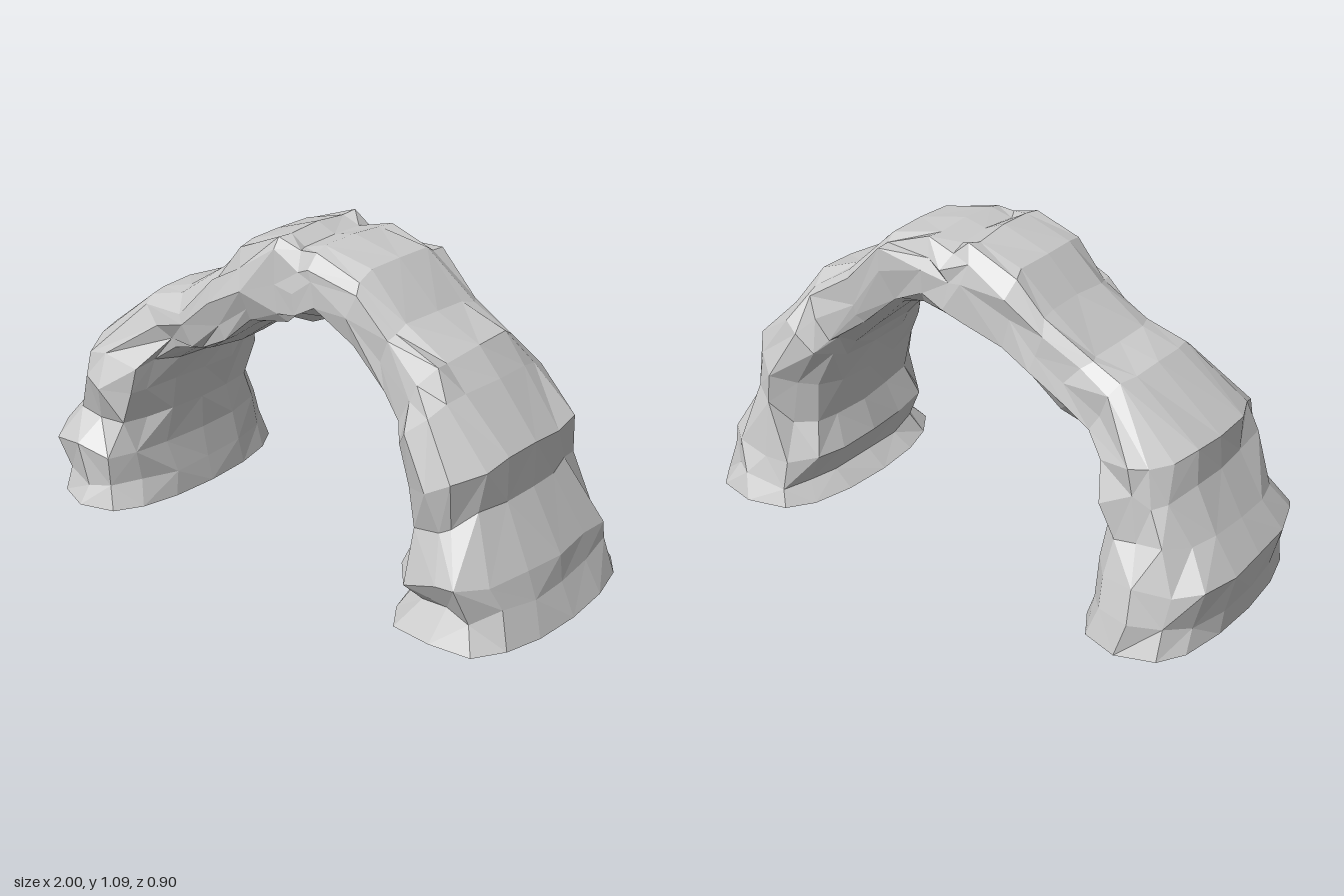
import * as THREE from 'three';

// Rings along the arch: outer x, outer y, inner x, inner y
const RINGS = [
  [-0.98, 0, -0.53, 0],
  [-0.98, 0.08, -0.55, 0.09],
  [-1, 0.21, -0.57, 0.2],
  [-0.93, 0.32, -0.57, 0.32],
  [-0.85, 0.47, -0.55, 0.44],
  [-0.84, 0.58, -0.53, 0.52],
  [-0.61, 0.77, -0.46, 0.57],
  [-0.47, 0.8, -0.37, 0.59],
  [-0.31, 0.92, -0.26, 0.67],
  [-0.2, 1.03, -0.17, 0.74],
  [-0.03, 1.09, -0.01, 0.8],
  [0.04, 1.06, 0.06, 0.81],
  [0.12, 1.08, 0.15, 0.83],
  [0.3, 1.04, 0.27, 0.79],
  [0.45, 0.9, 0.39, 0.68],
  [0.61, 0.83, 0.48, 0.59],
  [0.69, 0.74, 0.51, 0.53],
  [0.83, 0.57, 0.54, 0.42],
  [0.83, 0.42, 0.57, 0.28],
  [0.94, 0.22, 0.53, 0.17],
  [0.95, 0.13, 0.56, 0.08],
  [1, 0.02, 0.49, 0.02],
];
// Thickness by height: y, front z, back z
const DEPTHS = [
  [0, 0.44, 0.46],
  [0.1, 0.38, 0.43],
  [0.2, 0.42, 0.4],
  [0.31, 0.34, 0.34],
  [0.47, 0.37, 0.34],
  [0.63, 0.33, 0.3],
  [0.71, 0.28, 0.26],
  [0.8, 0.24, 0.24],
  [1.1, 0.21, 0.23],
];
const SIDES = 16;

// Repeatable noise in -1..1
const noise = (i, j, k) => {
  const s = Math.sin(i * 127.1 + j * 311.7 + k * 74.7) * 43758.5453;
  return 2 * (s - Math.floor(s)) - 1;
};
const rounded = (v, p) => Math.sign(v) * Math.abs(v) ** p;

function depthAt(y, column) {
  const k = Math.max(1, DEPTHS.findIndex((row) => row[0] >= y));
  const low = DEPTHS[k - 1], high = DEPTHS[k];
  return THREE.MathUtils.mapLinear(y, low[0], high[0], low[column], high[column]);
}

function createRock() {
  const positions = [], index = [], last = RINGS.length - 1;
  RINGS.forEach(([ox, oy, ix, iy], i) => {
    const foot = i === 0 || i === last;
    const cx = (ox + ix) / 2, cy = (oy + iy) / 2;
    // Legs come to a blunt ridge front and back, the span is boxy
    const span = THREE.MathUtils.smoothstep(cy, 0.5, 0.75);
    const acrossPower = 0.6 - 0.12 * span;
    const depthPower = 0.95 - 0.4 * span;
    // The right-hand neck of the arch is narrower than the left one
    const slim = cx < 0 && !foot ? 1 - 0.2 * Math.exp(-(((cy - 0.67) / 0.07) ** 2)) : 1;
    for (let j = 0; j < SIDES; j++) {
      const a = (j / SIDES) * Math.PI * 2;
      const c = rounded(Math.cos(a), acrossPower), s = rounded(Math.sin(a), depthPower);
      const rough = foot ? 0 : Math.abs(Math.sin(a)) * 0.026;
      const depth = depthAt(cy, s > 0 ? 1 : 2) * s * slim;
      positions.push(
        cx + ((ox - ix) / 2) * c + rough * noise(i, j, 1),
        cy + ((oy - iy) / 2) * c + rough * noise(i, j, 2),
        depth * (0.98 + (foot ? 0.03 : 0.07) * noise(i, j, 3))
      );
    }
  });

  // Skin between rings, with irregular diagonals
  for (let i = 0; i < last; i++) {
    for (let j = 0; j < SIDES; j++) {
      const a = i * SIDES + j, b = i * SIDES + ((j + 1) % SIDES);
      const c = a + SIDES, d = b + SIDES;
      if (noise(i, j, 4) > 0) index.push(a, b, c, b, d, c);
      else index.push(a, b, d, a, d, c);
    }
  }
  // Flat soles
  const end = last * SIDES;
  for (let j = 1; j < SIDES - 1; j++) {
    index.push(0, j + 1, j, end, end + j, end + j + 1);
  }

  const indexed = new THREE.BufferGeometry();
  indexed.setAttribute('position', new THREE.Float32BufferAttribute(positions, 3));
  indexed.setIndex(index);
  const geometry = indexed.toNonIndexed();
  geometry.computeVertexNormals();
  return geometry;
}

export function createModel() {
  const group = new THREE.Group();
  group.name = 'rockArch';
  const stone = new THREE.MeshStandardMaterial({ color: 0xcccccc, flatShading: true });
  const arch = new THREE.Mesh(createRock(), stone);
  arch.name = 'archStone';
  group.add(arch);
  return group;
}
